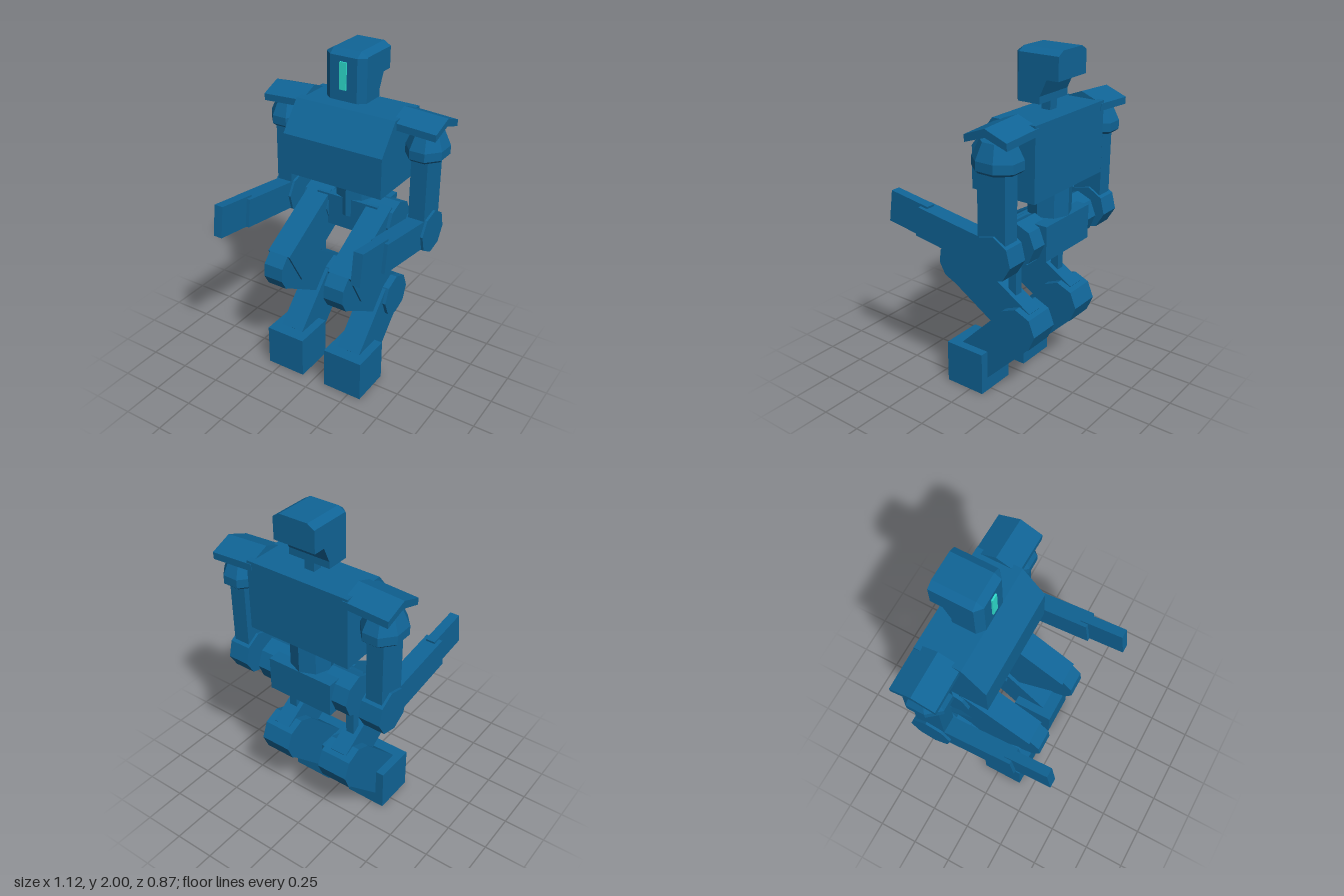
import * as THREE from 'three';

const blue = new THREE.MeshStandardMaterial({ color: 0x106496, flatShading: true });
const cyan = new THREE.MeshStandardMaterial({ color: 0x2ee0d0, flatShading: true });

function add(parent, name, geometry, x, y, z, material = blue) {
  const mesh = new THREE.Mesh(geometry, material);
  mesh.name = name;
  mesh.position.set(x, y, z);
  parent.add(mesh);
  return mesh;
}

// Box given by its limits on each axis
function box(parent, name, [x0, x1], [y0, y1], [z0, z1], material) {
  const g = new THREE.BoxGeometry(x1 - x0, y1 - y0, z1 - z0);
  return add(parent, name, g, (x0 + x1) / 2, (y0 + y1) / 2, (z0 + z1) / 2, material);
}

// Side profile of [z, y] points, extruded along x about the centre
function profileX(points, width, steps = 1) {
  const shape = new THREE.Shape(points.map(([z, y]) => new THREE.Vector2(z, y)));
  const g = new THREE.ExtrudeGeometry(shape, { depth: width, steps, bevelEnabled: false });
  return g.translate(0, 0, -width / 2).rotateY(-Math.PI / 2);
}

// Square limb between two [z, y] points
function beam(parent, name, x, [z0, y0], [z1, y1], width, height) {
  const g = new THREE.BoxGeometry(width, height, Math.hypot(z1 - z0, y1 - y0));
  const mesh = add(parent, name, g, x, (y0 + y1) / 2, (z0 + z1) / 2);
  mesh.rotation.x = -Math.atan2(y1 - y0, z1 - z0);
}

// Faceted joint with its axle along x
function joint(parent, name, x, [z, y], radius, width, tilt = 0, sides = 8) {
  const g = new THREE.CylinderGeometry(radius, radius, width, sides).rotateZ(Math.PI / 2);
  add(parent, name, g, x, y, z).rotation.x = -THREE.MathUtils.degToRad(tilt);
}

// Head block with chamfered front and top side edges
function headGeometry() {
  const g = profileX([[-0.15, 1.72], [-0.15, 1.97], [-0.19, 2], [-0.43, 2],
    [-0.43, 1.85], [-0.36, 1.85], [-0.32, 1.76], [-0.32, 1.72]], 0.254, 3);
  const p = g.attributes.position;
  for (let i = 0; i < p.count; i++) {
    const x = p.getX(i);
    if (Math.abs(x) < 0.1) p.setX(i, Math.sign(x) * 0.085);
    else p.setXYZ(i, x, Math.min(p.getY(i), 1.975), Math.min(p.getZ(i), -0.185));
  }
  g.computeVertexNormals();
  return g;
}

function buildArm(parent, s) {
  const arm = new THREE.Group();
  arm.name = s > 0 ? 'leftArm' : 'rightArm';
  parent.add(arm);
  const x = s * 0.45, elbow = [-0.3, 0.995];

  // Roof-shaped pad sloping outward
  const pad = profileX([[-0.13, -0.05], [0, 0], [0.13, -0.05], [0.13, -0.09], [0, -0.045], [-0.13, -0.09]], 0.265);
  add(arm, 'shoulderPad', pad, s * 0.425, 1.698, -0.305).rotation.z = -s * 0.055;

  // Eight-sided shoulder with flats facing the axes
  const rings = [[0, 0], [0.105, 0], [0.12, 0.015], [0.12, 0.065], [0.082, 0.155], [0, 0.155]];
  const shoulder = new THREE.LatheGeometry(rings.map(([r, y]) => new THREE.Vector2(r, y)), 8);
  shoulder.rotateY(Math.PI / 8).scale(0.995, 1, 1.18);
  add(arm, 'shoulder', shoulder, x, 1.455, -0.302);

  box(arm, 'upperArm', [x - 0.05, x + 0.05], [1.0, 1.47], [-0.385, -0.21]);
  joint(arm, 'elbow', x, elbow, 0.128, 0.13, 8);
  beam(arm, 'forearm', x, elbow, [0.21, 1.068], 0.1, 0.172);
  beam(arm, 'hand', x, [0.165, 1.066], [0.424, 1.103], 0.056, 0.188);
}

function buildLeg(parent, s) {
  const leg = new THREE.Group();
  leg.name = s > 0 ? 'leftLeg' : 'rightLeg';
  parent.add(leg);
  const x = s * 0.205, hip = [-0.3, 1.0], knee = [0.14, 0.75], ankle = [-0.3, 0.48];

  joint(leg, 'hip', s * 0.212, hip, 0.122, 0.176);
  beam(leg, 'thigh', x, hip, knee, 0.15, 0.252);
  joint(leg, 'knee', x, knee, 0.128, 0.125, 24, 10);
  beam(leg, 'shin', x, knee, ankle, 0.105, 0.25);
  joint(leg, 'ankleJoint', x, ankle, 0.13, 0.19);
  beam(leg, 'lowerLeg', x, ankle, [0, 0.175], 0.15, 0.254);
  box(leg, 'foot', [x - 0.127, x + 0.127], [0, 0.26], [-0.09, 0.165]);
  box(leg, 'piston', [x - 0.025, x + 0.025], [0.56, 0.95], [-0.255, -0.205]);
}

export function createModel() {
  const model = new THREE.Group();
  model.name = 'robot';

  // Head and neck
  add(model, 'head', headGeometry(), 0, 0, 0);
  box(model, 'visor', [-0.021, 0.021], [1.785, 1.94], [-0.17, -0.141], cyan);
  box(model, 'neck', [-0.03, 0.03], [1.62, 1.88], [-0.32, -0.265]);

  // Chest, waist and pelvis
  add(model, 'chest', profileX([[-0.03, 1.26], [-0.03, 1.5], [-0.165, 1.67], [-0.432, 1.67], [-0.432, 1.26]], 0.638), 0, 0, 0);
  add(model, 'waist', new THREE.CylinderGeometry(0.122, 0.122, 0.3, 8), 0, 1.14, -0.31);
  box(model, 'pelvis', [-0.205, 0.205], [0.9, 1.1], [-0.432, -0.2]);

  for (const s of [1, -1]) {
    buildArm(model, s);
    buildLeg(model, s);
  }
  return model;
}
